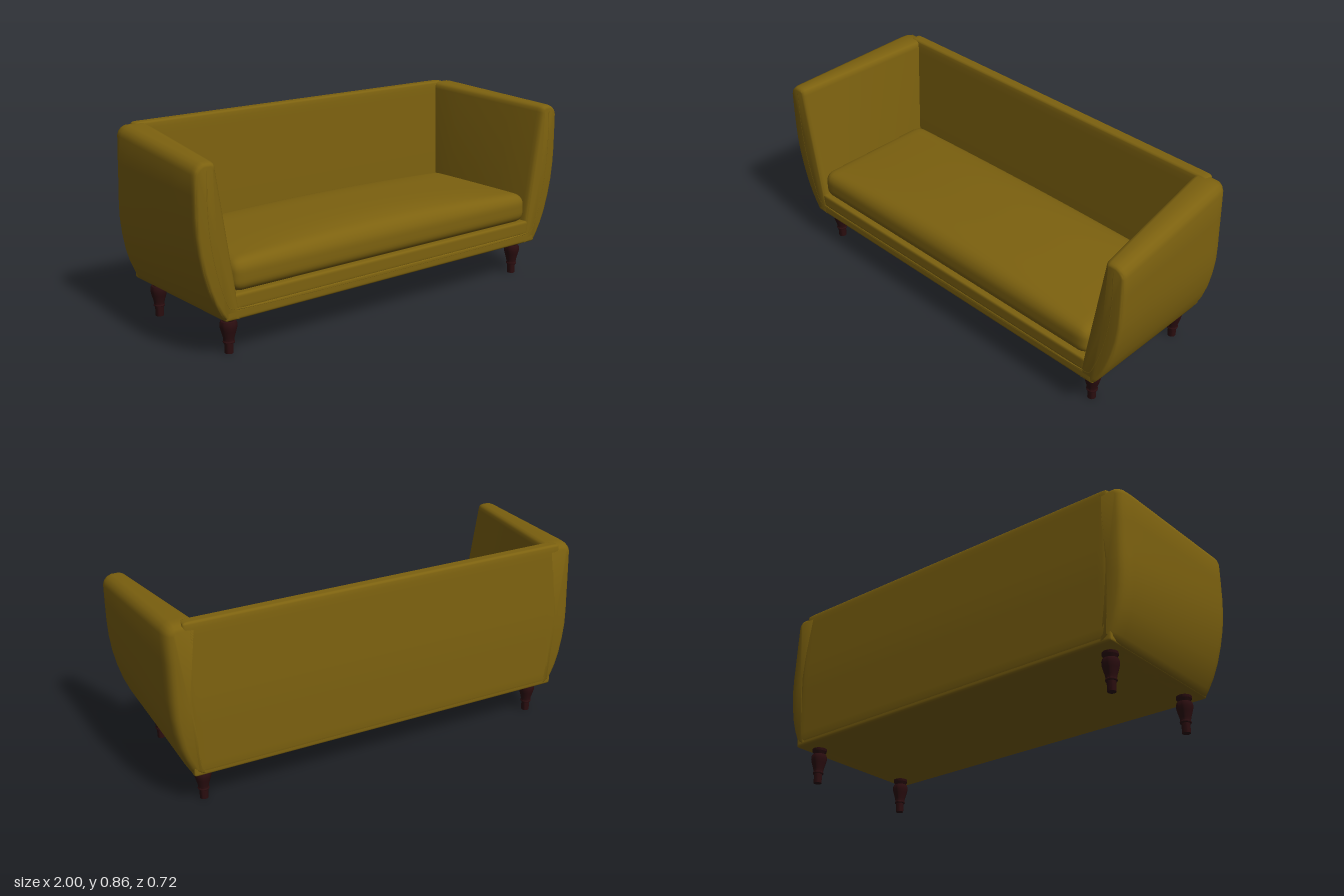
import * as THREE from 'three';
import { mergeVertices, toCreasedNormals } from 'three/addons/utils/BufferGeometryUtils.js';

const fabric = new THREE.MeshStandardMaterial({ name: 'mustardFabric', color: 0x7c610f });
const wood = new THREE.MeshStandardMaterial({ name: 'darkWood', color: 0x2a0d0f });

const add = (group, name, geometry, material) => {
  const mesh = new THREE.Mesh(geometry, material);
  mesh.name = name;
  group.add(mesh);
  return mesh;
};

// The upper rear leans slightly forward
const lean = (y, t) => Math.max(0, y - 0.5) * 0.045 * t;

// Box with rounded edges between two corners, then bent by a rule
function softBox(min, max, r, bend) {
  const half = max.map((v, i) => (v - min[i]) / 2);
  const mid = max.map((v, i) => (v + min[i]) / 2);
  const geo = new THREE.BoxGeometry(2, 2, 2, 36, 16, 28);
  geo.deleteAttribute('normal');
  geo.deleteAttribute('uv');
  const pos = geo.attributes.position;
  const p = new THREE.Vector3(), core = new THREE.Vector3();
  const lim = new THREE.Vector3(half[0] - r, half[1] - r, half[2] - r);
  for (let i = 0; i < pos.count; i++) {
    p.fromBufferAttribute(pos, i);
    // Crowd the rows towards the edges
    p.set(...p.toArray().map((v, k) => Math.sin(v * Math.PI / 2) * half[k]));
    core.copy(p).clamp(lim.clone().negate(), lim);
    p.sub(core).setLength(r).add(core).add(new THREE.Vector3(...mid));
    if (bend) bend(p);
    pos.setXYZ(i, p.x, p.y, p.z);
  }
  const merged = mergeVertices(geo, 1e-5);
  merged.computeVertexNormals();
  return merged;
}

// Arm cross-section at t = 0 (front) to 1 (rear), counterclockwise
function armSection(t, inset) {
  const top = 0.814 + 0.044 * t;
  const outer = [[0.865, 0.165], [0.882, 0.172], [0.899, 0.198], [0.925, 0.245], [0.95, 0.305],
    [0.972, 0.38], [0.988, 0.455], [0.997, 0.53], [1, 0.6], [1, 0.69], [0.999, top - 0.045],
    [0.992, top - 0.024], [0.978, top - 0.009], [0.958, top]]
    .map(([x, y]) => [x - 0.045 * t * Math.min(1, (y - 0.165) / 0.4), y]);
  const innerX = 0.903 - 0.088 * t;
  const inner = [[innerX + 0.022, top], [innerX + 0.009, top - 0.005], [innerX + 0.002, top - 0.014],
    [innerX, top - 0.03], [0.82 - 0.005 * t, 0.27], [0.805, 0.165]];
  const ring = [...outer, ...inner];
  return ring.map(([x, y], i) => {
    const a = ring[(i + ring.length - 1) % ring.length], b = ring[(i + 1) % ring.length];
    const dx = b[0] - a[0], dy = b[1] - a[1], len = Math.hypot(dx, dy);
    return [x - dy / len * inset, y + dx / len * inset];
  });
}

function armGeometry(side) {
  // Depth and edge inset of each section
  const stations = [[0.36, 0.016], [0.358, 0.009], [0.352, 0.004], [0.342, 0.001], [0.325, 0], [0.16, 0], [0, 0],
    [-0.16, 0], [-0.29, 0], [-0.32, 0.002], [-0.342, 0.009], [-0.354, 0.019], [-0.36, 0.032]];
  const verts = [], index = [];
  let n = 0;
  const tri = (a, b, c) => index.push(...(side > 0 ? [a, b, c] : [a, c, b]));
  stations.forEach(([z, inset]) => {
    const t = (0.36 - z) / 0.72;
    const ring = armSection(t, inset);
    n = ring.length;
    ring.forEach(([x, y]) => verts.push(x * side, y, z + lean(y, t)));
  });
  for (let i = 0; i < stations.length - 1; i++) {
    for (let j = 0; j < n; j++) {
      const a = i * n + j, b = i * n + (j + 1) % n;
      tri(a, a + n, b);
      tri(b, a + n, b + n);
    }
  }
  // End caps
  const last = (stations.length - 1) * n;
  verts.push(0.91 * side, 0.5, 0.36, 0.88 * side, 0.5, -0.36);
  const centre = last + n;
  for (let j = 0; j < n; j++) {
    const k = (j + 1) % n;
    tri(centre, j, k);
    tri(centre + 1, last + k, last + j);
  }
  const geo = new THREE.BufferGeometry();
  geo.setAttribute('position', new THREE.Float32BufferAttribute(verts, 3));
  geo.setIndex(index);
  return toCreasedNormals(geo, 0.75);
}

export function createModel() {
  const sofa = new THREE.Group();
  sofa.name = 'sofa';

  // Seat frame in two padded bands
  add(sofa, 'lowerFrame', softBox([-0.88, 0.165, -0.358], [0.88, 0.216, 0.36], 0.012), fabric);
  add(sofa, 'upperFrame', softBox([-0.84, 0.205, -0.34], [0.84, 0.272, 0.358], 0.012), fabric);

  // Backrest, thinner towards the top
  add(sofa, 'backrest', softBox([-0.885, 0.17, -0.36], [0.885, 0.858, -0.268], 0.022, p => {
    const inner = (p.z + 0.36) / 0.092;
    p.z += lean(p.y, 1) * (1 - inner) - 0.02 * inner * Math.max(0, (p.y - 0.4) / 0.45);
    // Lower corners follow the curve of the arms
    if (p.y < 0.25) p.x *= 1 - 0.02 * (0.25 - p.y) / 0.08;
  }), fabric);

  // Domed seat cushion
  add(sofa, 'seatCushion', softBox([-0.83, 0.265, -0.275], [0.83, 0.402, 0.352], 0.05, p => {
    const dome = (1 - (p.x / 0.83) ** 2) * (1 - ((p.z - 0.04) / 0.32) ** 4);
    p.y += 0.043 * Math.max(0, dome) * (p.y - 0.265) / 0.137;
  }), fabric);

  for (const side of [1, -1]) {
    add(sofa, side > 0 ? 'leftArm' : 'rightArm', armGeometry(side), fabric);
  }

  // Piping around the front
  const half = [[0.946, 0.785], [0.948, 0.65], [0.94, 0.52], [0.917, 0.39], [0.885, 0.28], [0.858, 0.22], [0.83, 0.212]];
  const path = [...half, ...half.map(([x, y]) => [-x, y]).reverse()].map(([x, y]) => new THREE.Vector3(x, y, 0.357));
  add(sofa, 'frontPiping', new THREE.TubeGeometry(new THREE.CatmullRomCurve3(path), 160, 0.004, 6), fabric);

  // Turned legs
  const profile = [[0, 0], [0.018, 0], [0.019, 0.043], [0.024, 0.045], [0.025, 0.049], [0.022, 0.054],
    [0.024, 0.068], [0.032, 0.096], [0.036, 0.113], [0.036, 0.127], [0.032, 0.137], [0.025, 0.14],
    [0.028, 0.147], [0.033, 0.153], [0.033, 0.17]].map(([r, y]) => new THREE.Vector2(r, y));
  const legGeo = toCreasedNormals(new THREE.LatheGeometry(profile, 24), 0.7);
  for (const [zName, z] of [['front', 0.277], ['rear', -0.27]]) {
    for (const side of [1, -1]) {
      add(sofa, zName + (side > 0 ? 'Left' : 'Right') + 'Leg', legGeo, wood).position.set(0.815 * side, 0, z);
    }
  }
  return sofa;
}
